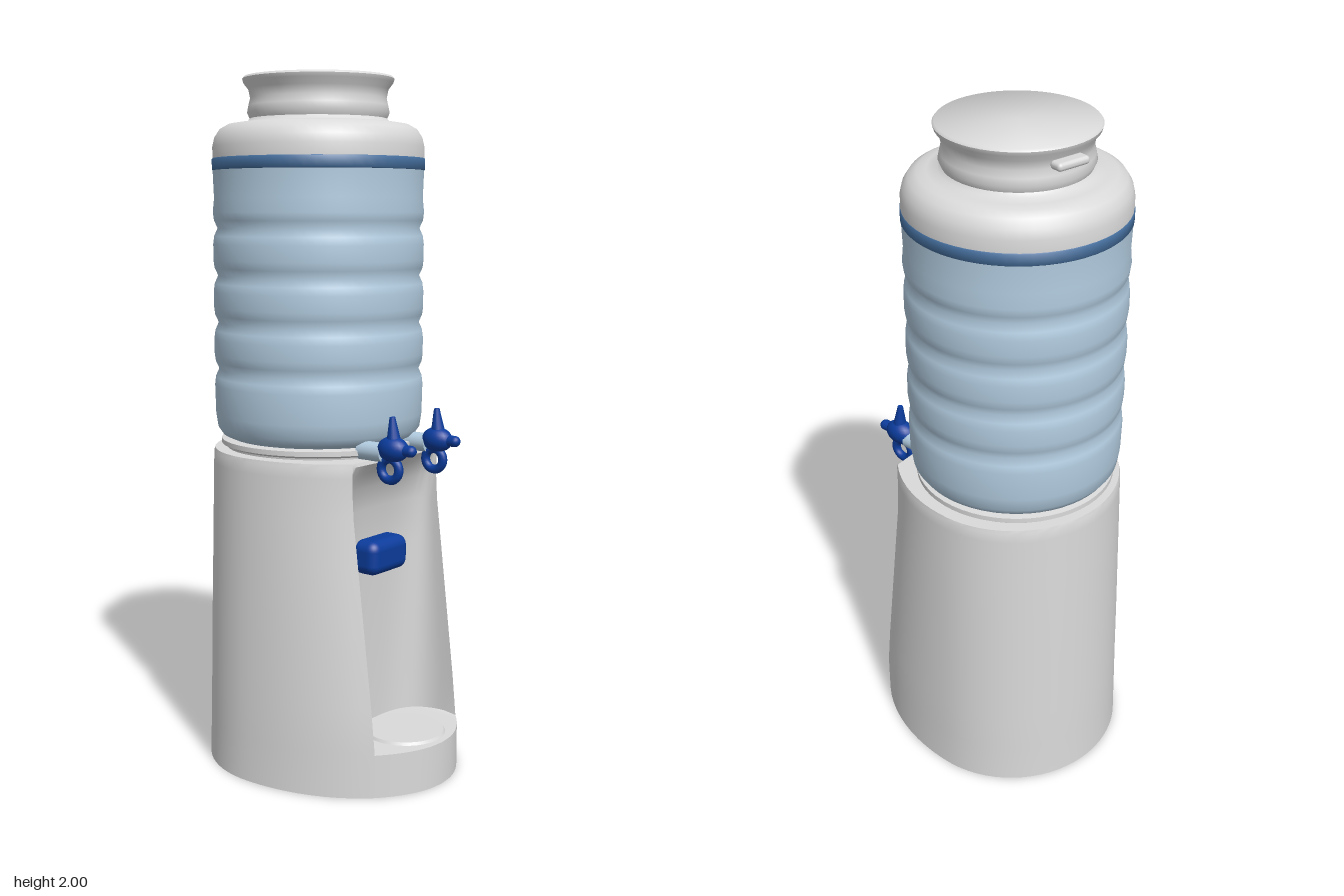
import * as THREE from 'three';
import { toCreasedNormals } from 'three/addons/utils/BufferGeometryUtils.js';
import { RoundedBoxGeometry } from 'three/addons/geometries/RoundedBoxGeometry.js';

const CZ = -0.065; // axis of the bottle and stand

const material = (name, color) => {
  const m = new THREE.MeshStandardMaterial({ color });
  m.name = name;
  return m;
};

function add(parent, name, geometry, mat, x = 0, y = 0, z = 0) {
  const mesh = new THREE.Mesh(geometry, mat);
  mesh.name = name;
  mesh.position.set(x, y, z);
  parent.add(mesh);
  return mesh;
}

// Stand: horizontal outlines lofted upwards, with a concave niche above a bulging tray
function standGeometry() {
  const W = 0.2, OUTER = 56, WALL = 28;
  // y, half width, back z, z of the niche edges, z of the niche or tray middle
  const levels = [
    [0, 0.337, -0.392, 0.3, 0.39],
    [0.125, 0.334, -0.389, 0.3, 0.39],
    [0.13, 0.334, -0.389, 0.3, 0.13],
    [0.25, 0.331, -0.386, 0.288, 0.13],
    [0.45, 0.327, -0.382, 0.264, 0.135],
    [0.65, 0.322, -0.377, 0.24, 0.14],
    [0.78, 0.319, -0.374, 0.224, 0.148],
    [0.85, 0.317, -0.372, 0.22, 0.168],
    [0.9, 0.316, -0.371, 0.22, 0.198],
    [0.93, 0.315, -0.37, 0.22, 0.225],
    [0.94, 0.312, -0.367, 0.217, 0.222],
  ];
  const pos = [], idx = [];
  for (const [y, rx, back, edge, mid] of levels) {
    const t0 = Math.asin(W / rx), front = (edge - CZ) / Math.cos(t0);
    for (let i = 0; i <= OUTER; i++) {
      const t = t0 + (2 * Math.PI - 2 * t0) * i / OUTER, c = Math.cos(t);
      pos.push(rx * Math.sin(t), y, CZ + c * (c > 0 ? front : CZ - back));
    }
    for (let i = 1; i < WALL; i++) {
      const p = Math.PI * i / WALL, c = Math.cos(p);
      const x = -W * Math.sign(c) * Math.abs(c) ** 0.65;
      const f = mid > edge ? 1 - (x / W) ** 2 : Math.sin(p) ** 0.65;
      pos.push(x, y, edge + (mid - edge) * f);
    }
  }
  const N = OUTER + WALL, top = (levels.length - 1) * N;
  for (let l = 0; l < levels.length - 1; l++) {
    for (let j = 0; j < N; j++) {
      const a = l * N + j, b = l * N + (j + 1) % N;
      idx.push(a, b, b + N, a, b + N, a + N);
    }
  }
  const base = pos.length / 3;
  pos.push(0, 0, CZ, 0, 0.94, CZ);
  for (let j = 0; j < N; j++) {
    const k = (j + 1) % N;
    idx.push(base, k, j, base + 1, top + j, top + k);
  }
  const g = new THREE.BufferGeometry();
  g.setAttribute('position', new THREE.Float32BufferAttribute(pos, 3));
  g.setIndex(idx);
  return toCreasedNormals(g, 0.7);
}

const lathe = (points, crease = 0.9) =>
  toCreasedNormals(new THREE.LatheGeometry(points.map(([r, y]) => new THREE.Vector2(r, y)), 56), crease);

// Ribbed wall of the bottle: bulges between narrow grooves
function bottleProfile() {
  const points = [[0.25, 0.965], [0.283, 0.98], [0.297, 1.0], [0.303, 1.04]];
  for (const y of [1.17, 1.305, 1.44, 1.575]) {
    points.push([0.305, y - 0.045], [0.302, y - 0.022], [0.292, y], [0.302, y + 0.022], [0.305, y + 0.045]);
  }
  points.push([0.301, 1.66], [0.304, 1.74]);
  return points;
}

// One tap: pale stem, body, lever, nose and looped spout
function tap(name, x, blue, pale) {
  const g = new THREE.Group();
  g.name = name;
  g.position.set(x, 0, 0);
  const stem = add(g, 'tapStem', new THREE.CylinderGeometry(0.027, 0.027, 0.08, 20), pale, 0, 0.965, 0.22);
  stem.rotation.x = Math.PI / 2;
  add(g, 'tapBody', new THREE.SphereGeometry(1, 20, 14), blue, 0, 0.978, 0.29).scale.set(0.034, 0.036, 0.048);
  const lever = add(g, 'tapLever', new THREE.CylinderGeometry(0.008, 0.022, 0.075, 14), blue, 0, 1.03, 0.29);
  lever.rotation.x = -0.08;
  const nose = add(g, 'tapNose', new THREE.CapsuleGeometry(0.016, 0.045, 6, 14), blue, 0, 0.978, 0.328);
  nose.rotation.x = Math.PI / 2;
  const loop = add(g, 'tapSpout', new THREE.TorusGeometry(0.03, 0.013, 10, 24), blue, 0, 0.92, 0.28);
  loop.rotation.y = Math.PI / 2;
  return g;
}

export function createModel() {
  const white = material('off white plastic', 0xdadada);
  const water = material('pale blue bottle', 0xb2cce0);
  const band = material('dark blue band', 0x456f9e);
  const blue = material('tap blue', 0x0b3c9c);

  const model = new THREE.Group();
  model.name = 'waterDispenser';

  // Stand with tray and push button
  add(model, 'stand', standGeometry(), white);
  add(model, 'dripPlate', new THREE.CylinderGeometry(0.115, 0.12, 0.008, 40), white, 0, 0.132, 0.255);
  add(model, 'pushButton', new RoundedBoxGeometry(0.17, 0.1, 0.09, 4, 0.03), blue, -0.008, 0.645, 0.17);

  // Bottle
  const bottle = new THREE.Group();
  bottle.name = 'bottle';
  bottle.position.z = CZ;
  model.add(bottle);
  add(bottle, 'collar', lathe([[0.27, 0.93], [0.272, 0.945], [0.287, 0.952], [0.287, 0.966], [0.24, 0.972]]), white);
  add(bottle, 'bottleWall', lathe(bottleProfile()), water);
  add(bottle, 'bottleBand', lathe([[0.304, 1.738], [0.306, 1.74], [0.306, 1.77], [0.304, 1.772]]), band);
  add(bottle, 'shoulder', lathe([[0.304, 1.77], [0.304, 1.805], [0.298, 1.83], [0.283, 1.853], [0.26, 1.866],
    [0.235, 1.87], [0.205, 1.874], [0.195, 1.885]]), white);
  add(bottle, 'neck', lathe([[0.195, 1.88], [0.204, 1.9], [0.2, 1.92], [0.195, 1.94], [0.2, 1.965],
    [0.214, 1.983], [0.217, 1.994], [0.212, 2.0], [0, 2.0]]), white);
  const tab = add(bottle, 'neckTab', new RoundedBoxGeometry(0.1, 0.022, 0.04, 3, 0.01), white, 0.06, 1.953, -0.205);
  tab.rotation.y = -0.25;

  // Taps
  model.add(tap('rightTap', -0.11, blue, water), tap('leftTap', 0.102, blue, water));
  return model;
}
